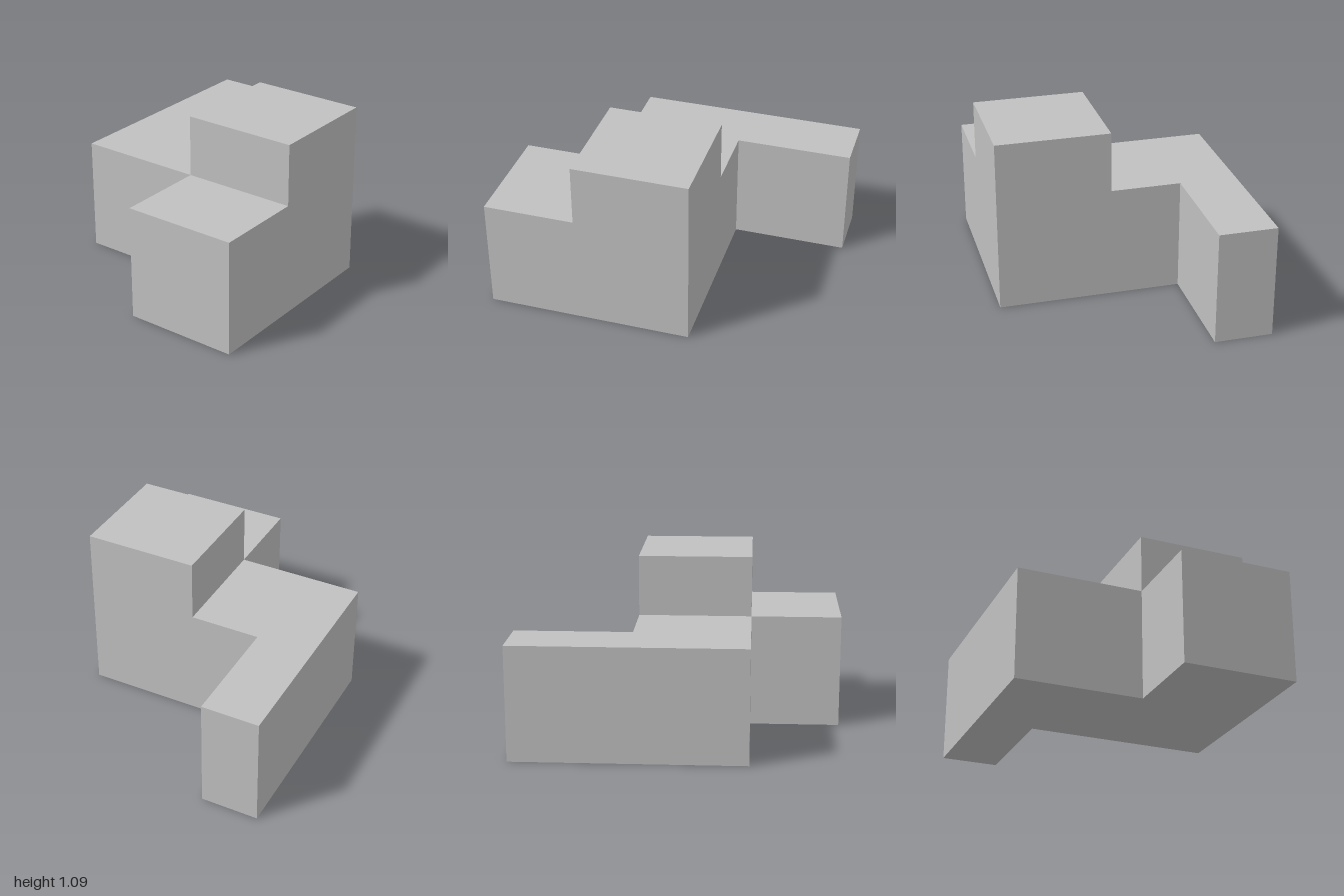
import * as THREE from 'three';

export function createModel() {
  const model = new THREE.Group();
  model.name = 'steppedBuilding';
  const wall = new THREE.MeshStandardMaterial({ color: 0xc0c0c0 });
  wall.name = 'lightGrey';

  // Extrude a footprint of [x, z] corners upward from y0 to y1
  function block(name, corners, y0, y1) {
    const shape = new THREE.Shape(corners.map(([x, z]) => new THREE.Vector2(x, -z)));
    const geometry = new THREE.ExtrudeGeometry(shape, { depth: y1 - y0, bevelEnabled: false });
    geometry.rotateX(-Math.PI / 2);
    geometry.translate(0, y0, 0);
    const mesh = new THREE.Mesh(geometry, wall);
    mesh.name = name;
    model.add(mesh);
  }

  // Lower storey: central bar with a front wing and a narrow back wing
  block('lowerStorey', [
    [-0.755, -1], [-0.395, -1], [-0.395, -0.275], [0.755, -0.275],
    [0.755, 1], [0.045, 1], [0.045, 0.435], [-0.755, 0.435],
  ], 0, 0.71);

  // Raised square block on the left side
  block('upperStorey', [
    [0.045, -0.275], [0.755, -0.275], [0.755, 0.435], [0.045, 0.435],
  ], 0.71, 1.09);

  return model;
}
